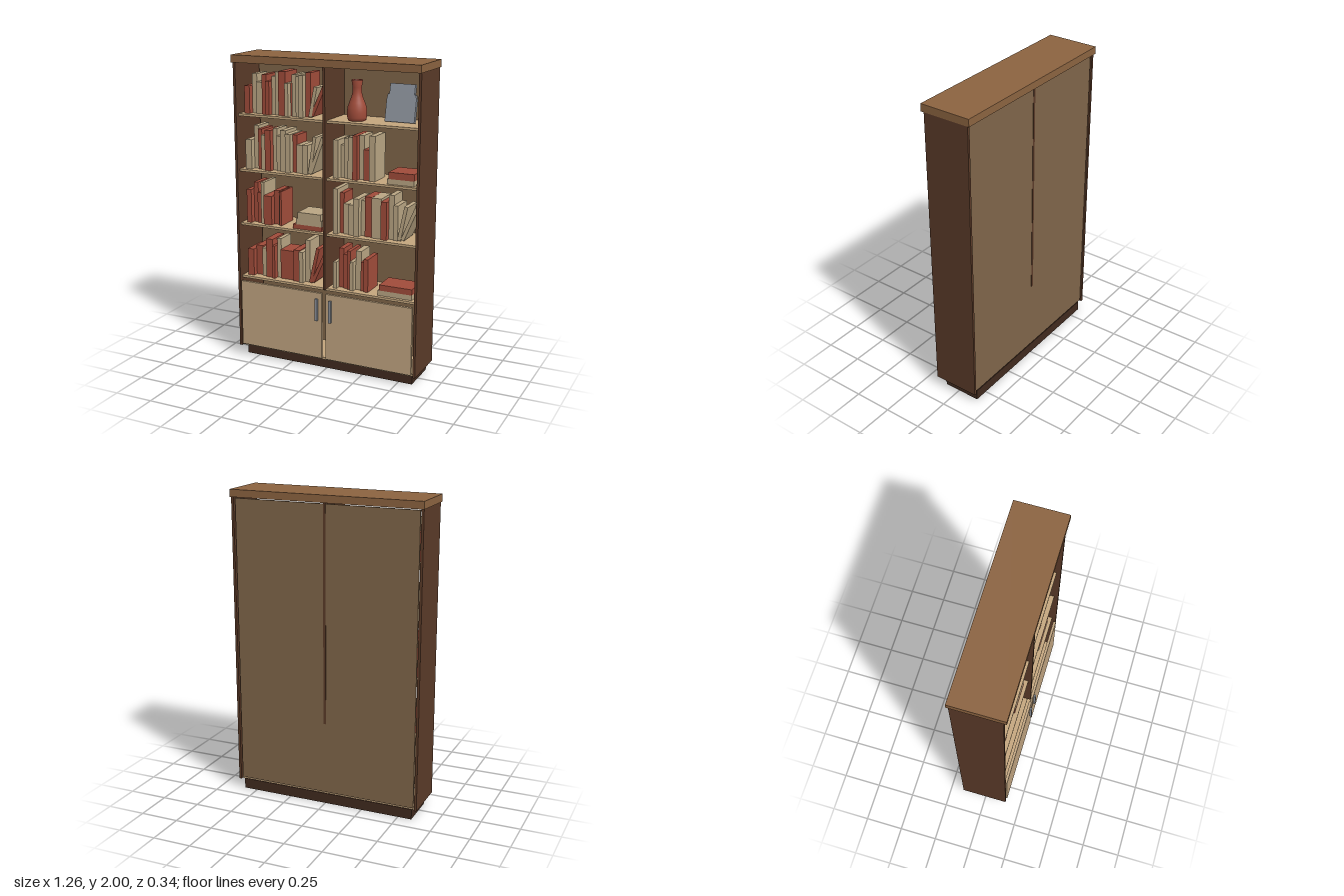
import * as THREE from 'three';

const mat = (color, extra = {}) => {
  const m = new THREE.MeshStandardMaterial(extra);
  m.color.set(color);
  return m;
};
const M = {
  side: mat(0x5a3a28), top: mat(0x8b6340), back: mat(0x7f6549), shelf: mat(0xc4a67e),
  door: mat(0xc0a480), plinth: mat(0x402a1e), metal: mat(0x8b919a),
  R: mat(0xa04c3a), T: mat(0xb9a583), vase: mat(0xa04c3a, { side: THREE.DoubleSide }),
};

// Box given by its extents along each axis
function box(parent, name, [x0, x1], [y0, y1], [z0, z1], material) {
  const mesh = new THREE.Mesh(new THREE.BoxGeometry(x1 - x0, y1 - y0, z1 - z0), material);
  mesh.position.set((x0 + x1) / 2, (y0 + y1) / 2, (z0 + z1) / 2);
  mesh.name = name;
  parent.add(mesh);
  return mesh;
}

// Row of upright books, each "colour width height" in hundredths of a unit
function bookRow(parent, x, y, list) {
  const row = new THREE.Group();
  row.name = 'bookRow';
  list.split(',').forEach((entry, i) => {
    const [c, w, h] = entry.trim().split(' ');
    const x1 = x + w / 100;
    const front = 0.095 - 0.012 * ((i * 3) % 4);
    box(row, 'book', [x, x1 - 0.001], [y, y + h / 100], [-0.075, front], M[c]);
    x = x1;
  });
  parent.add(row);
}

// Books leaning to the right: [colour, x of the foot, length, angle]
function leaningBooks(parent, y, list) {
  for (const [c, x, length, angle] of list) {
    const g = new THREE.BoxGeometry(0.022, length, 0.15);
    g.translate(-0.011, length / 2, 0.01);
    const book = new THREE.Mesh(g, M[c]);
    book.position.set(x, y + 0.022 * Math.sin(angle), 0);
    book.rotation.z = -angle;
    book.name = 'leaningBook';
    parent.add(book);
  }
}

// Flat stack of books: [colour, x0, x1, thickness]
function stack(parent, y, list) {
  for (const [c, x0, x1, t] of list) {
    box(parent, 'flatBook', [x0, x1], [y, y + t], [-0.06, 0.1], M[c]);
    y += t;
  }
}

export function createModel() {
  const model = new THREE.Group();
  model.name = 'bookcase';

  // Carcass
  box(model, 'topBoard', [-0.63, 0.63], [1.953, 2], [-0.168, 0.168], M.top);
  box(model, 'plinth', [-0.59, 0.59], [0, 0.068], [-0.145, 0.105], M.plinth);
  box(model, 'backPanel', [-0.602, 0.602], [0.08, 1.945], [-0.149, -0.138], M.back);
  box(model, 'divider', [-0.008, 0.008], [0.55, 1.953], [-0.152, 0.145], M.side);
  box(model, 'bottomBoard', [-0.61, 0.61], [0.066, 0.08], [-0.14, 0.13], M.shelf);
  const shelves = [0.553, 0.913, 1.27, 1.628];
  for (const y of shelves) box(model, 'shelf', [-0.61, 0.61], [y - 0.015, y], [-0.138, 0.123], M.shelf);

  // Sides, doors and handles
  for (const s of [-1, 1]) {
    const span = (a, b) => (s > 0 ? [a, b] : [-b, -a]);
    box(model, 'sidePanel', span(0.61, 0.626), [0.066, 1.953], [-0.156, 0.15], M.side);
    box(model, 'door', span(0.014, 0.6), [0.082, 0.525], [0.137, 0.155], M.door);
    box(model, 'handle', span(0.04, 0.056), [0.338, 0.486], [0.153, 0.168], M.metal);
  }

  // Books, from the lowest shelf up
  const books = new THREE.Group();
  books.name = 'books';
  model.add(books);
  const [s1, s2, s3, s4] = shelves;
  bookRow(books, -0.58, s1, 'R 4.5 18,R 5 20,T 3.5 19,R 5 26,R 2 22,T 3 26.5,R 10 19.5,R 4.5 21,T 3 20.5,T 3.5 28');
  leaningBooks(books, s1, [['R', -0.115, 0.24, 0.22], ['R', -0.1, 0.23, 0.42]]);
  bookRow(books, 0.04, s1, 'T 2.5 17.5,R 3.5 26,R 3 22.5,R 2.5 25.5,T 2.5 19,T 4 25.5,R 2.5 19,R 3 21.5');
  stack(books, s1, [['T', 0.347, 0.575, 0.033], ['R', 0.357, 0.575, 0.037]]);

  bookRow(books, -0.58, s2, 'R 3.5 22,R 3.2 26.5,R 3.2 20,T 2.4 27.5,R 6 19,R 4 22.5,T 1 22,R 1.5 22.5');
  stack(books, s2, [['R', -0.24, -0.04, 0.03], ['T', -0.218, -0.04, 0.038], ['T', -0.208, -0.045, 0.042]]);
  bookRow(books, 0.04, s2, 'T 3 29,R 3 26,T 4 19.5,T 3.5 19.5,T 4 24,T 3 22.5,R 5 25.5,T 6.5 25.5,R 4 24,T 3.5 28,T 3 22');
  leaningBooks(books, s2, [['T', 0.488, 0.22, 0.2], ['T', 0.51, 0.225, 0.4]]);

  bookRow(books, -0.58, s3, 'T 4.5 19,T 3.5 28,R 2.8 26,T 3.2 22.5,R 4.2 26,T 3 27,T 3.3 22.5,T 4 26.5,T 3.7 24.5,R 3.2 24,T 4.5 18,T 4 18.5');
  leaningBooks(books, s3, [['T', -0.118, 0.24, 0.15], ['T', -0.11, 0.245, 0.35]]);
  bookRow(books, 0.04, s3, 'T 3.5 24,T 2.8 20.5,T 3 25,T 3.6 26,R 3.2 27.5,T 3.2 27.5,R 4.2 19,T 4 28');
  stack(books, s3, [['T', 0.4, 0.575, 0.032], ['R', 0.41, 0.575, 0.042]]);

  bookRow(books, -0.58, s4, 'R 3.8 17.5,T 3.5 25,T 4.7 20,R 3.2 25,R 2.6 21,T 3.2 24,T 2.6 27,R 5 27.5,T 2.5 20.5,R 1.5 20.5,T 3.2 26,T 2.6 25,T 3 26,R 3.6 27.5');
  leaningBooks(books, s4, [['T', -0.112, 0.19, 0.2], ['R', -0.1, 0.215, 0.42]]);

  // Vase
  const profile = [[0, 0], [0.055, 0], [0.06, 0.02], [0.061, 0.05], [0.058, 0.08], [0.048, 0.11], [0.036, 0.14],
    [0.028, 0.17], [0.028, 0.2], [0.035, 0.245], [0.028, 0.243], [0.02, 0.2], [0, 0.19]];
  const vase = new THREE.Mesh(
    new THREE.LatheGeometry(profile.map(([r, y]) => new THREE.Vector2(r, y)), 32), M.vase);
  vase.position.set(0.165, s4, 0.02);
  vase.name = 'vase';
  model.add(vase);

  // Stepped plaque leaning back
  const outline = [[-0.095, 0], [0.095, 0], [0.095, 0.135], [0.09, 0.168], [0.08, 0.168], [0.08, 0.23],
    [-0.08, 0.23], [-0.08, 0.168], [-0.09, 0.168], [-0.095, 0.135]];
  const plaque = new THREE.Mesh(new THREE.ExtrudeGeometry(
    new THREE.Shape(outline.map(([x, y]) => new THREE.Vector2(x, y))),
    { depth: 0.025, bevelEnabled: false }), M.metal);
  plaque.position.set(0.438, s4, -0.011);
  plaque.rotation.x = -0.22;
  plaque.name = 'plaque';
  model.add(plaque);

  return model;
}
